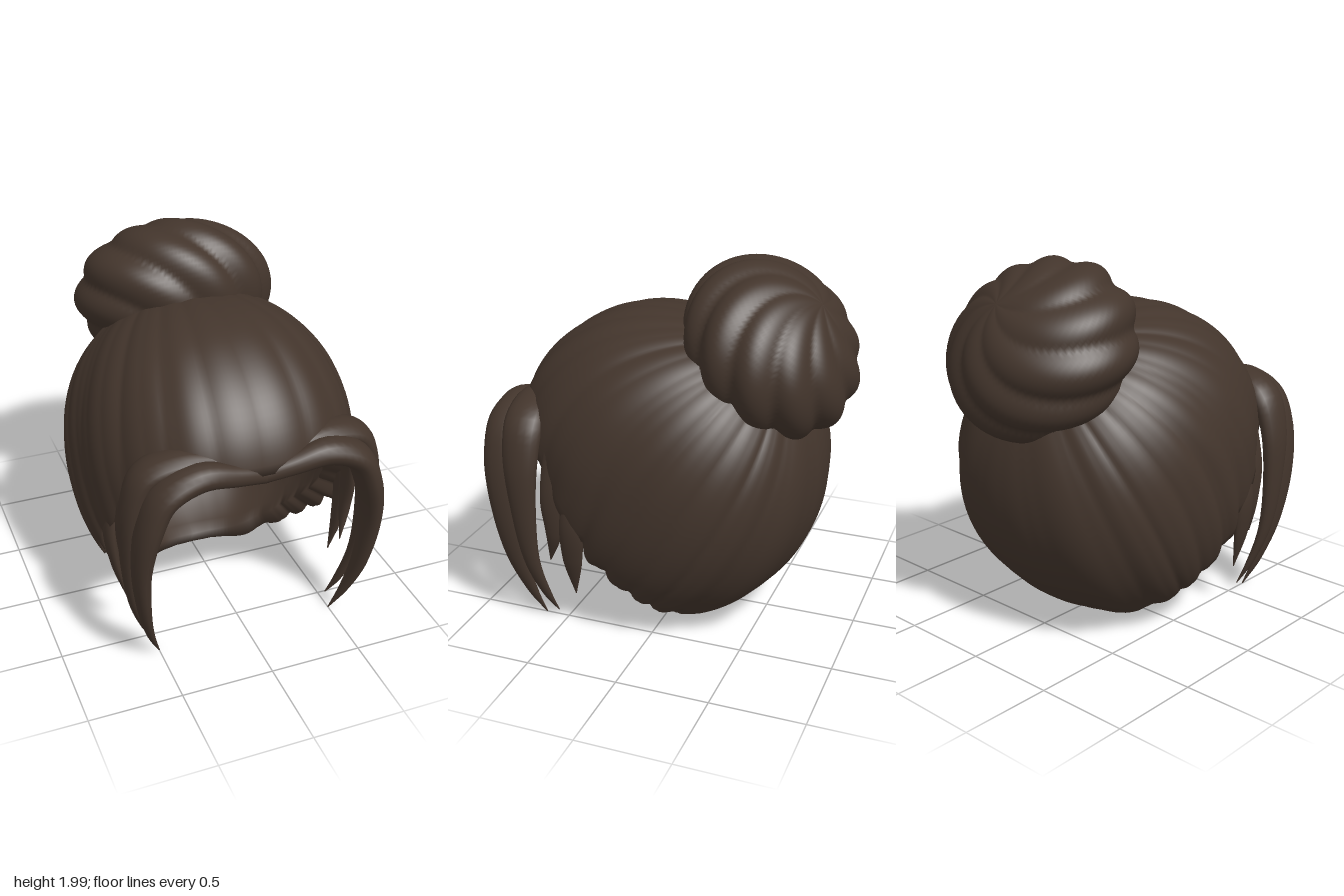
import * as THREE from 'three';

const V = (x, y, z) => new THREE.Vector3(x, y, z);

// Surface from fn(u, v): closed around u, open along v.
function loopSurface(fn, nu, nv) {
  const pos = [], idx = [];
  for (let j = 0; j <= nv; j++)
    for (let i = 0; i < nu; i++) pos.push(...fn(i / nu, j / nv).toArray());
  for (let j = 0; j < nv; j++)
    for (let i = 0; i < nu; i++) {
      const k = (i + 1) % nu;
      const a = j * nu + i, b = j * nu + k, c = a + nu, d = b + nu;
      idx.push(a, c, b, b, c, d);
    }
  const g = new THREE.BufferGeometry();
  g.setAttribute('position', new THREE.Float32BufferAttribute(pos, 3));
  g.setIndex(idx);
  g.computeVertexNormals();
  return g;
}

// Skull-shaped radius around the head centre, for a unit direction.
const centre = V(0, 0.85, 0);
const radii = [0.88, 0.94, 0.91, 0.85, 0.83, 0.81, 0.8, 0.81, 0.835, 0.87, 0.87, 0.87, 0.88];
const profile = new THREE.SplineCurve(radii.map((r, i) => new THREE.Vector2(i, r)));
function headRadius(d) {
  const turn = Math.atan2(d.y, d.z) / (2 * Math.PI);
  const R = profile.getPoint((turn + 1) % 1).y;
  const p = 2.25;
  return Math.pow(Math.pow(Math.abs(d.x) / 0.76, p) + Math.pow(Math.hypot(d.y, d.z) / R, p), -1 / p);
}

// Combed cap: strands fan from under the bun to the hairline, then fold inside.
function capGeometry() {
  const half = [[0, 1.15, 0.86], [0.3, 1.16, 0.8], [0.5, 1.1, 0.68], [0.6, 0.95, 0.56], [0.66, 0.78, 0.43],
    [0.69, 0.57, 0.33], [0.66, 0.43, 0.2], [0.6, 0.27, 0.05], [0.5, 0.15, -0.05], [0.28, 0.04, -0.14], [0, 0.01, -0.2]];
  const pts = half.map((p) => V(...p));
  for (let i = half.length - 2; i > 0; i--) pts.push(V(-half[i][0], half[i][1], half[i][2]));
  const rim = new THREE.CatmullRomCurve3(pts, true);
  const pole = V(0, 0.7, -0.5).normalize();
  const rows = 60, rimRow = 36;
  return loopSurface((u, v) => {
    const row = Math.round(v * rows);
    const outside = row <= rimRow;
    const t = outside ? row / rimRow : (rows - row) / (rows - rimRow - 1);
    const w = Math.min(u, 1 - u) * 2;
    const mid = Math.sin(Math.PI * w);
    const end = rim.getPoint(u).sub(centre).normalize();
    const sway = 0.5 * Math.sin(Math.PI * t) * mid;
    const lobe = 0.75 * Math.abs(Math.sin(Math.PI * (9 * w + 0.5 * Math.sin(9 * w) + sway)))
      + 0.25 * Math.abs(Math.sin(Math.PI * (14 * w + sway)));
    const jag = 1 + 0.03 * (lobe - 0.5) * mid * t * t;
    const angle = pole.angleTo(end);
    const side = end.clone().addScaledVector(pole, -Math.cos(angle)).normalize();
    const a = angle * t * jag;
    const d = pole.clone().multiplyScalar(Math.cos(a)).addScaledVector(side, Math.sin(a));
    const relief = (0.008 + 0.022 * Math.min(1, w * 1.8)) * (lobe - 0.65) * Math.min(1, t * 1.6);
    const lip = (0.05 + 0.06 * lobe) * mid * Math.pow(t, 12);
    const r = headRadius(d) * (outside ? 1 + relief : 0.92 + relief * 0.4 - lip);
    return d.multiplyScalar(r).add(centre);
  }, 264, rows);
}

// Bun: flattened ball with rounded ridges twisting round its axis.
function bunGeometry() {
  return loopSurface((u, v) => {
    const phi = -u * Math.PI * 2, th = v * Math.PI;
    const ridge = Math.abs(Math.sin(4.5 * phi + 3.6 * th + 0.7 * Math.sin(phi)));
    const r = 1 + 0.085 * (ridge - 0.65) * Math.pow(Math.sin(th), 1.2);
    return V(0.54 * r * Math.sin(th) * Math.cos(phi), 0.375 * r * Math.cos(th), 0.5 * r * Math.sin(th) * Math.sin(phi));
  }, 180, 48);
}

// Tapered lock; rows are x, y, z, half depth, half thickness.
function lockGeometry(rows, s) {
  const path = new THREE.CatmullRomCurve3(rows.map((r) => V(r[0] * s, r[1], r[2])));
  const size = new THREE.CatmullRomCurve3(rows.map((r) => V(r[3], r[4], 0)));
  return loopSurface((u, v) => {
    const T = path.getTangent(v), c = path.getPoint(v), h = size.getPoint(v);
    const depth = V(0, 0, 1).addScaledVector(T, -T.z).normalize();
    const n = new THREE.Vector3().crossVectors(T, depth);
    const a = u * Math.PI * 2;
    return c.addScaledVector(n, Math.cos(a) * h.y).addScaledVector(depth, Math.sin(a) * h.x);
  }, 16, 40);
}

const locks = {
  frontFringe: [[-0.02, 1.125, 0.83, 0.03, 0.04], [0.15, 1.165, 0.84, 0.05, 0.055], [0.34, 1.195, 0.825, 0.09, 0.07],
    [0.51, 1.12, 0.805, 0.12, 0.07], [0.59, 0.95, 0.8, 0.115, 0.065], [0.63, 0.7, 0.785, 0.085, 0.05],
    [0.61, 0.4, 0.745, 0.06, 0.035], [0.56, 0.17, 0.685, 0.03, 0.02], [0.5, 0.01, 0.635, 0.003, 0.003]],
  sideFringe: [[0.02, 1.15, 0.79, 0.03, 0.03], [0.2, 1.21, 0.76, 0.06, 0.05], [0.4, 1.23, 0.71, 0.1, 0.06],
    [0.57, 1.17, 0.68, 0.11, 0.06], [0.64, 1.0, 0.675, 0.1, 0.055], [0.66, 0.75, 0.665, 0.075, 0.045],
    [0.635, 0.4, 0.64, 0.045, 0.03], [0.57, 0.17, 0.59, 0.025, 0.016], [0.52, 0.05, 0.55, 0.003, 0.003]],
  frontWisp: [[0.6, 1.05, 0.5, 0.06, 0.03], [0.64, 0.8, 0.5, 0.07, 0.03], [0.63, 0.58, 0.505, 0.045, 0.025],
    [0.59, 0.4, 0.55, 0.003, 0.003]],
  backWisp: [[0.65, 0.85, 0.38, 0.05, 0.03], [0.67, 0.65, 0.38, 0.07, 0.035], [0.65, 0.45, 0.39, 0.055, 0.025],
    [0.6, 0.23, 0.4, 0.003, 0.003]],
};

export function createModel() {
  const group = new THREE.Group();
  const hair = new THREE.MeshStandardMaterial({ color: 0x43352c });
  hair.name = 'darkBrownHair';
  const add = (name, geometry) => {
    const mesh = new THREE.Mesh(geometry, hair);
    mesh.name = name;
    group.add(mesh);
    return mesh;
  };

  add('hairCap', capGeometry());

  const bun = add('bun', bunGeometry());
  bun.position.set(0, 1.55, -0.49);
  bun.quaternion.setFromUnitVectors(V(0, 1, 0), V(0.1, 0.7, -0.7).normalize());

  // Face-framing locks, mirrored
  for (const [name, rows] of Object.entries(locks)) {
    add(name + 'Left', lockGeometry(rows, 1));
    add(name + 'Right', lockGeometry(rows, -1));
  }
  return group;
}
